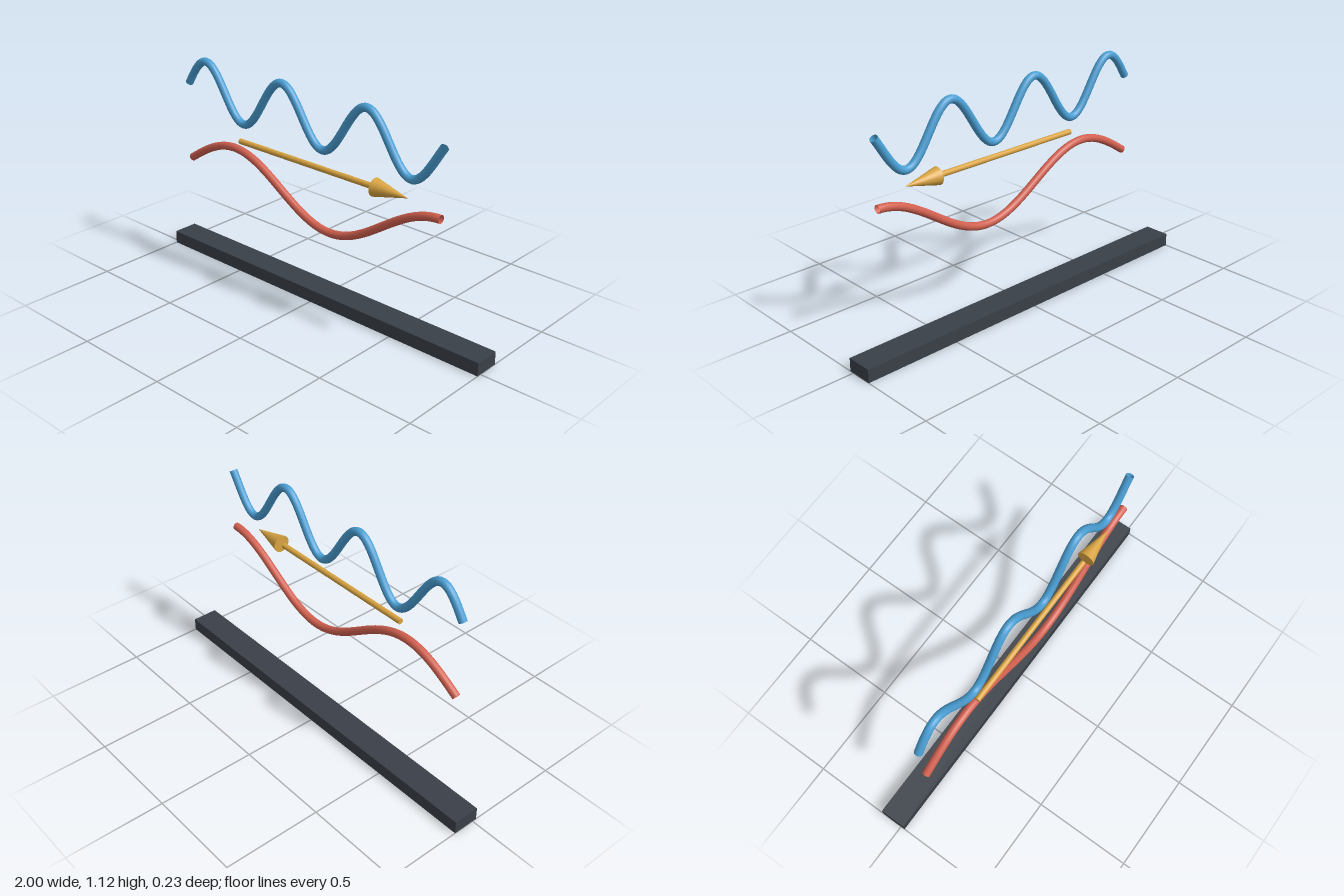
import * as THREE from 'three';

const material = (name, color, side = THREE.FrontSide) => {
  const m = new THREE.MeshStandardMaterial({ color, side });
  m.name = name;
  return m;
};

// Sine-wave centre line running along x
class WaveCurve extends THREE.Curve {
  constructor(midY, amplitude, frequency) {
    super();
    Object.assign(this, { midY, amplitude, frequency });
  }
  getPoint(t, target = new THREE.Vector3()) {
    const run = 1.58 * t;
    const y = this.midY + this.amplitude * Math.sin(this.frequency * run);
    return target.set(-0.793 + run, y, 0.054);
  }
}

export function createModel() {
  const group = new THREE.Group();
  group.name = 'waveDisplay';

  const slate = material('slate', 0x3a4048);
  const blue = material('blue', 0x4a9fd4, THREE.DoubleSide);
  const red = material('red', 0xd1604f, THREE.DoubleSide);
  const gold = material('gold', 0xd9a441);

  const add = (parent, name, geometry, mat, x = 0, y = 0, z = 0) => {
    const mesh = new THREE.Mesh(geometry, mat);
    mesh.name = name;
    mesh.position.set(x, y, z);
    parent.add(mesh);
    return mesh;
  };

  // Base bar
  add(group, 'baseBar', new THREE.BoxGeometry(2, 0.067, 0.134), slate, 0, 0.0335, -0.045);

  // Short wave above, long wave below
  const wave = (midY, frequency) =>
    new THREE.TubeGeometry(new WaveCurve(midY, 0.132, frequency), 160, 0.02, 16);
  add(group, 'shortWave', wave(0.97, 12.2), blue);
  add(group, 'longWave', wave(0.568, 4.98), red);

  // Arrow pointing to +x, with a small gap before its head
  const arrow = new THREE.Group();
  arrow.name = 'arrow';
  arrow.position.set(0, 0.754, 0.071);
  arrow.rotation.z = -Math.PI / 2;
  add(arrow, 'arrowShaft', new THREE.CylinderGeometry(0.014, 0.014, 0.83, 16), gold);
  add(arrow, 'arrowHead', new THREE.ConeGeometry(0.044, 0.185, 24), gold, 0, 0.528, 0);
  group.add(arrow);

  return group;
}
